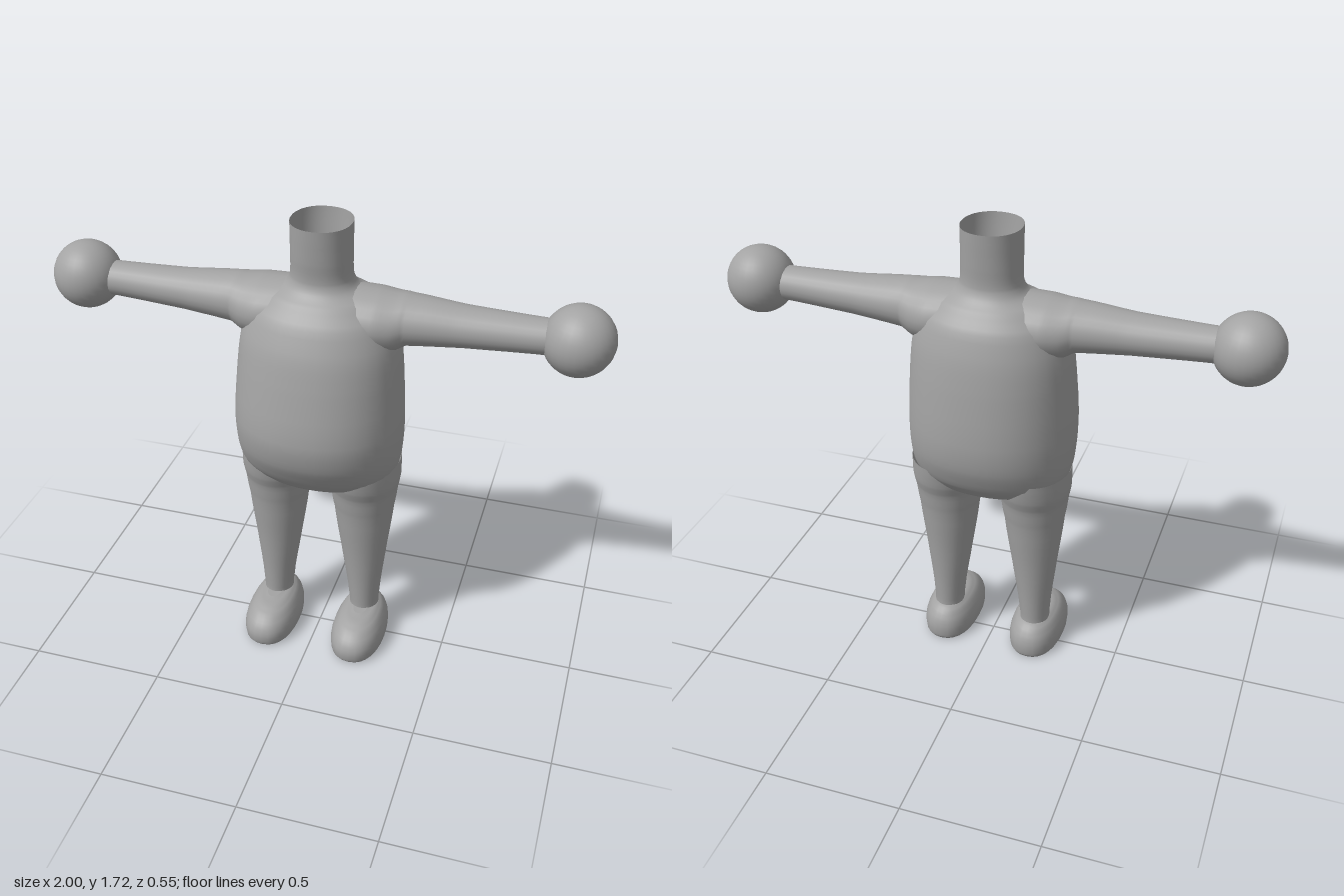
import * as THREE from 'three';

const bodyGrey = new THREE.MeshStandardMaterial({ color: 0xa3a3a3, side: THREE.DoubleSide });
bodyGrey.name = 'bodyGrey';

const MID_Z = -0.02; // limbs sit slightly behind the centre

// Catmull-Rom blend of four numbers
const blend = (a, b, c, d, t) =>
  b + 0.5 * t * (c - a + t * (2 * a - 5 * b + 4 * c - d + t * (3 * (b - c) + d - a)));

// Smooth skin through sections [t, c1, c2, r1, r2] along 'x' or 'y' (t rising);
// power above 2 squares the ring off. Ends may be closed with a centre point.
function loft(sections, { axis = 'y', n = 32, steps = 4, power = 2, capStart = false, capEnd = false } = {}) {
  const rings = [];
  const at = (i) => sections[Math.min(Math.max(i, 0), sections.length - 1)];
  for (let i = 0; i < sections.length - 1; i++) {
    for (let s = 0; s < steps; s++) {
      const t = s / steps;
      rings.push(at(i).map((v, k) => (k === 0
        ? v + (at(i + 1)[0] - v) * t
        : blend(at(i - 1)[k], v, at(i + 1)[k], at(i + 2)[k], t))));
    }
  }
  rings.push(at(sections.length - 1));

  const pos = [], idx = [];
  const add = (t, a, b) => (axis === 'y' ? pos.push(a, t, b) : pos.push(t, a, b));
  const dir = axis === 'y' ? -1 : 1;
  const round = (v) => Math.sign(v) * Math.pow(Math.abs(v), 2 / power);
  for (const [t, c1, c2, r1, r2] of rings) {
    for (let j = 0; j < n; j++) {
      const a = (j / n) * Math.PI * 2;
      add(t, c1 + r1 * round(Math.cos(a)), c2 + dir * r2 * round(Math.sin(a)));
    }
  }
  for (let i = 0; i < rings.length - 1; i++) {
    for (let j = 0; j < n; j++) {
      const a = i * n + j, b = i * n + (j + 1) % n;
      idx.push(a, b, a + n, b, b + n, a + n);
    }
  }
  // caps get their own rim so the edge stays crisp
  const cap = (ring, flip) => {
    const base = pos.length / 3;
    pos.push(...pos.slice(ring * n * 3, (ring + 1) * n * 3));
    add(rings[ring][0], rings[ring][1], rings[ring][2]);
    for (let j = 0; j < n; j++) {
      const a = base + j, b = base + (j + 1) % n;
      idx.push(...(flip ? [b, a, base + n] : [a, b, base + n]));
    }
  };
  if (capStart) cap(0, true);
  if (capEnd) cap(rings.length - 1, false);

  const g = new THREE.BufferGeometry();
  g.setAttribute('position', new THREE.Float32BufferAttribute(pos, 3));
  g.setIndex(idx);
  g.computeVertexNormals();
  return g;
}

export function createModel() {
  const model = new THREE.Group();
  model.name = 'figure';
  const part = (name, geometry, parent = model) => {
    const mesh = new THREE.Mesh(geometry, bodyGrey);
    mesh.name = name;
    parent.add(mesh);
    return mesh;
  };

  // Torso running up into an open neck: [y, half width, front z, back z]
  const torso = [
    [0.69, 0.03, 0.01, -0.05],
    [0.705, 0.13, 0.08, -0.11],
    [0.74, 0.24, 0.15, -0.175],
    [0.80, 0.29, 0.205, -0.225],
    [0.89, 0.303, 0.255, -0.262],
    [1.00, 0.305, 0.273, -0.272],
    [1.18, 0.295, 0.245, -0.258],
    [1.30, 0.282, 0.217, -0.24],
    [1.40, 0.25, 0.175, -0.21],
    [1.46, 0.19, 0.125, -0.165],
    [1.49, 0.13, 0.09, -0.133],
    [1.525, 0.109, 0.077, -0.119],
    [1.60, 0.106, 0.085, -0.123],
    [1.72, 0.106, 0.094, -0.131],
  ].map(([y, hx, f, b]) => [y, 0, (f + b) / 2, hx, (f - b) / 2]);
  part('torsoAndNeck', loft(torso, { n: 40, power: 2.15, capStart: true }));

  // Arms, flared at the shoulder, with ball hands
  const armGeometry = loft([
    [0.06, 1.39, 0, 0.105, 0.13],
    [0.20, 1.385, 0, 0.107, 0.135],
    [0.265, 1.385, 0, 0.102, 0.118],
    [0.31, 1.397, 0, 0.089, 0.1],
    [0.50, 1.398, 0, 0.072, 0.08],
    [0.82, 1.402, 0, 0.06, 0.063],
  ], { axis: 'x', n: 24 });
  const handGeometry = new THREE.SphereGeometry(0.123, 28, 20);

  for (const side of [1, -1]) {
    const label = side > 0 ? 'left' : 'right';
    const arm = new THREE.Group();
    arm.name = label + 'Arm';
    arm.position.z = MID_Z;
    arm.rotation.y = side > 0 ? 0 : Math.PI;
    part(label + 'Sleeve', armGeometry, arm);
    part(label + 'Hand', handGeometry, arm).position.set(0.877, 1.403, 0);
    model.add(arm);

    // Leg: [y, centre x, half width, half depth]
    const leg = [
      [0.10, 0.176, 0.057, 0.068],
      [0.17, 0.175, 0.058, 0.069],
      [0.40, 0.17, 0.086, 0.09],
      [0.60, 0.167, 0.112, 0.118],
      [0.69, 0.166, 0.125, 0.136],
      [0.74, 0.165, 0.134, 0.155],
      [0.82, 0.163, 0.135, 0.17],
    ].map(([y, x, rx, rz]) => [y, side * x, MID_Z, rx, rz]);
    part(label + 'Leg', loft(leg, { n: 28 }));

    // Foot with a flat sole: [y, half width, toe z, heel z]
    const foot = [
      [0, 0.094, 0.212, -0.13],
      [0.012, 0.1, 0.222, -0.138],
      [0.05, 0.102, 0.225, -0.141],
      [0.085, 0.094, 0.21, -0.134],
      [0.115, 0.077, 0.175, -0.115],
      [0.132, 0.055, 0.13, -0.09],
      [0.138, 0.03, 0.08, -0.06],
    ].map(([y, rx, f, b]) => [y, side * 0.176, (f + b) / 2, rx, (f - b) / 2]);
    part(label + 'Foot', loft(foot, { n: 28, steps: 3, power: 2.3, capStart: true, capEnd: true }));
  }
  return model;
}
